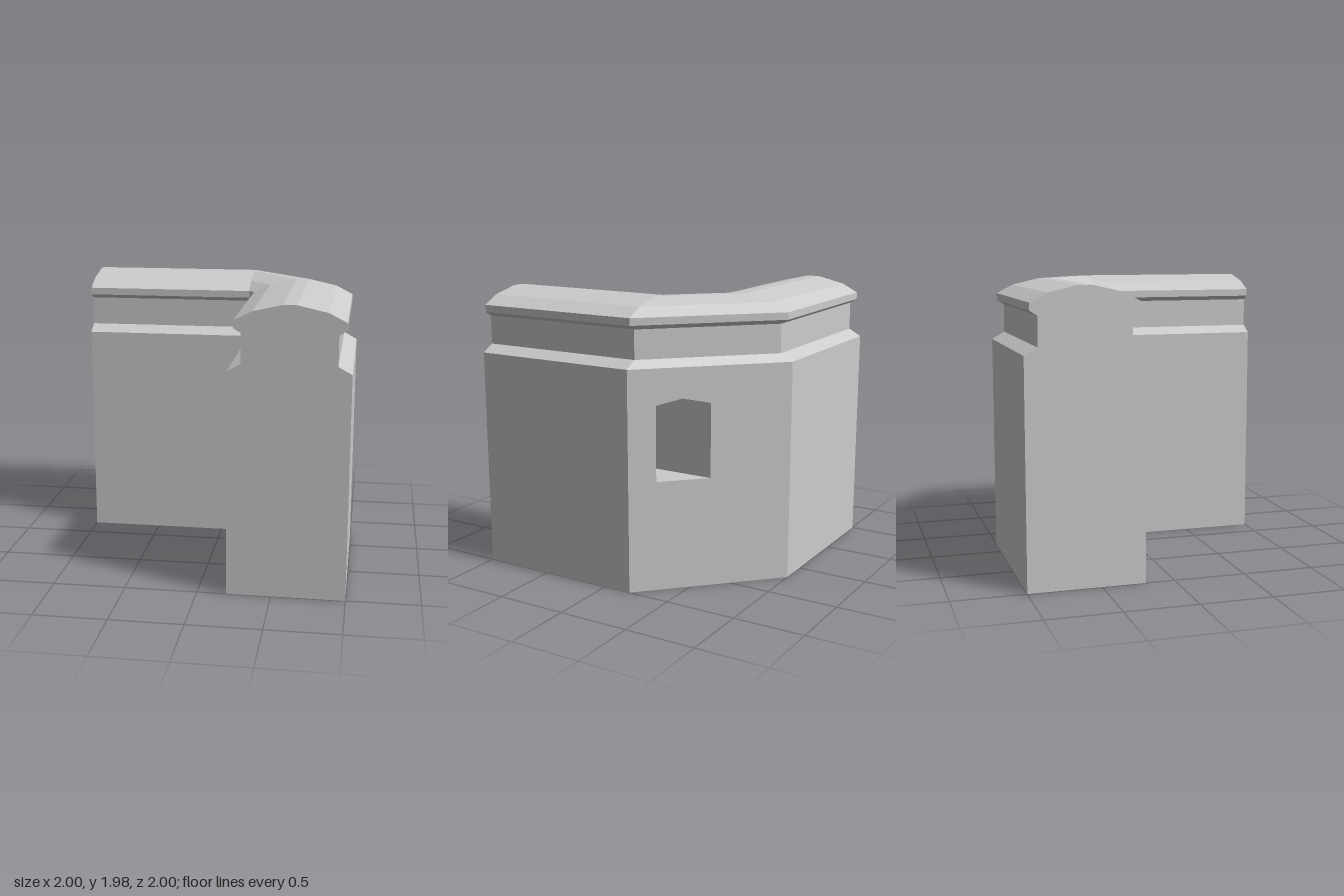
import * as THREE from 'three';

const material = new THREE.MeshStandardMaterial({ color: 0xcccccc, flatShading: true });

// Wall section: distance from the inner face, height; outer foot first
const WALL = [
  [0.8, 0], [0.8, 1.54], [0.71, 1.59], [0.71, 1.79], [0.76, 1.82], [0.76, 1.87],
  [0.645, 1.93], [0.445, 1.975], [0.355, 1.975], [0.16, 1.93], [0.04, 1.87],
  [0.04, 1.82], [0.09, 1.79], [0.09, 1.59], [0, 1.54], [0, 0],
];

// Window opening (x, y), with a shallow gabled top
const OPENING = [[0.6, 0.77], [0.865, 0.77], [0.865, 1.29], [0.74, 1.33], [0.6, 1.29]];

const vectors = (points) => points.map(([x, y]) => new THREE.Vector2(x, y));

function addMesh(group, name, geometry) {
  const mesh = new THREE.Mesh(geometry, material);
  mesh.name = name;
  group.add(mesh);
}

// Flat-faced strip between two matching loops; skips collapsed triangles
function loft(start, end, skip = () => false) {
  const positions = [];
  const triangle = (...corners) => {
    if (new THREE.Triangle(...corners).getArea() > 1e-7) {
      corners.forEach((p) => positions.push(p.x, p.y, p.z));
    }
  };
  start.forEach((a, i) => {
    if (skip(i)) return;
    const j = (i + 1) % start.length;
    triangle(a, start[j], end[j]);
    triangle(a, end[j], end[i]);
  });
  const geometry = new THREE.BufferGeometry();
  geometry.setAttribute('position', new THREE.Float32BufferAttribute(positions, 3));
  geometry.computeVertexNormals();
  return geometry;
}

export function createModel() {
  const group = new THREE.Group();
  group.name = 'cornerWall';

  // Sections along the two arms, both hinged on the inner corner
  const backSection = (x) => WALL.map(([d, y]) => new THREE.Vector3(x, y, -0.2 - d));
  const sideSection = (z) => WALL.map(([d, y]) => new THREE.Vector3(0.2 + d, y, z));

  addMesh(group, 'backArm', loft(backSection(-1), backSection(0.2)));
  addMesh(group, 'sideArm', loft(sideSection(-0.2), sideSection(1)));
  // Corner leaves out its outer wall, which carries the window
  addMesh(group, 'cornerBody', loft(backSection(0.2), sideSection(-0.2), (i) => i === 0));

  // Ends of the arms
  addMesh(group, 'sideArmEnd',
    new THREE.ShapeGeometry(new THREE.Shape(vectors(WALL))).translate(0.2, 0, 1));
  const mirrored = WALL.map(([d, y]) => [-d, y]);
  addMesh(group, 'backArmEnd',
    new THREE.ShapeGeometry(new THREE.Shape(vectors(mirrored)))
      .rotateY(-Math.PI / 2).translate(-1, 0, -0.2));

  // Diagonal outer wall with the window cut through it
  const half = 0.4 * Math.SQRT2;
  const face = new THREE.Shape(vectors([[-half, 0], [half, 0], [half, 1.54], [-half, 1.54]]));
  face.holes.push(new THREE.Path(vectors(OPENING.map(([x, y]) => [(0.6 - x) * Math.SQRT2, y]))));
  addMesh(group, 'diagonalWall',
    new THREE.ShapeGeometry(face).rotateY(Math.PI * 0.75).translate(0.6, 0, -0.6));

  // Window passage running into the side arm, closed at its far end
  const depth = 0.2;
  const mouth = OPENING.map(([x, y]) => new THREE.Vector3(x, y, x - 1.2));
  const far = OPENING.map(([x, y]) => new THREE.Vector3(x, y, depth));
  addMesh(group, 'windowPassage', loft(far, mouth));
  const back = OPENING.map(([x, y]) => [-x, y]);
  addMesh(group, 'windowBack',
    new THREE.ShapeGeometry(new THREE.Shape(vectors(back))).rotateY(Math.PI).translate(0, 0, depth));

  return group;
}
